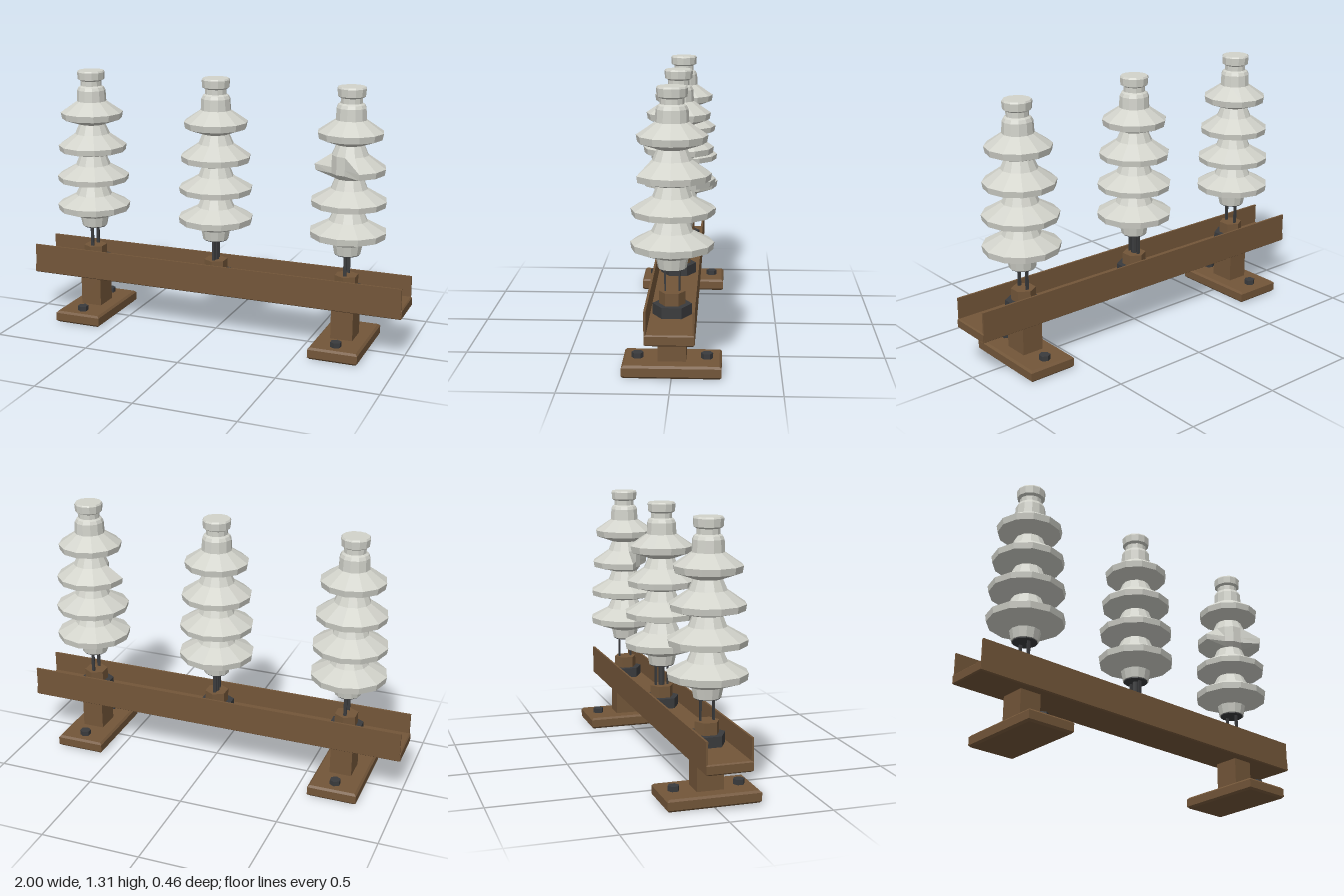
import * as THREE from 'three';

const porcelain = new THREE.MeshStandardMaterial({ color: 0xd2d3cb });
porcelain.name = 'porcelain grey';
const rust = new THREE.MeshStandardMaterial({ color: 0x735639 });
rust.name = 'rusty brown';
const iron = new THREE.MeshStandardMaterial({ color: 0x3a3b3d });
iron.name = 'dark iron';

// Faceted mesh
function part(parent, name, geometry, material, x = 0, y = 0, z = 0) {
  const g = geometry.index ? geometry.toNonIndexed() : geometry;
  g.computeVertexNormals();
  const mesh = new THREE.Mesh(g, material);
  mesh.name = name;
  mesh.position.set(x, y, z);
  parent.add(mesh);
  return mesh;
}

// Plate with chamfered edges, standing on y = 0
function chamferPlate(w, h, d, b) {
  const x = w / 2 - b, z = d / 2 - b;
  const shape = new THREE.Shape([
    new THREE.Vector2(-x, -z), new THREE.Vector2(x, -z),
    new THREE.Vector2(x, z), new THREE.Vector2(-x, z),
  ]);
  return new THREE.ExtrudeGeometry(shape, {
    depth: h - 2 * b, bevelEnabled: true, bevelThickness: b, bevelSize: b, bevelSegments: 1,
  }).rotateX(-Math.PI / 2).translate(0, b, 0);
}

const profile = [
  [0, 0.49], [0.065, 0.49], [0.075, 0.54], [0.185, 0.578], [0.19, 0.61],
  [0.095, 0.66], [0.072, 0.71], [0.182, 0.735], [0.187, 0.764],
  [0.09, 0.82], [0.07, 0.87], [0.172, 0.895], [0.177, 0.925],
  [0.09, 0.985], [0.068, 1.035], [0.155, 1.065], [0.161, 1.097],
  [0.076, 1.155], [0.073, 1.212], [0.065, 1.228], [0.054, 1.235], [0.054, 1.26],
  [0.068, 1.268], [0.071, 1.305], [0.066, 1.313], [0, 1.313],
].map(([r, y]) => new THREE.Vector2(r, y));

// Stacked porcelain sheds; one may have a piece broken from its third rim
function insulatorBody(chipped) {
  const g = new THREE.LatheGeometry(profile, 12);
  if (chipped) {
    const p = g.attributes.position;
    for (let i = 0; i < p.count; i++) {
      const x = p.getX(i), y = p.getY(i), z = p.getZ(i);
      const r = Math.hypot(x, z), a = Math.atan2(x, z);
      if (y > 0.88 && y < 0.94 && r > 0.1 && a > -1.15 && a < 0.1) {
        p.setX(i, x * 0.09 / r);
        p.setZ(i, z * 0.09 / r);
      }
    }
  }
  return g;
}

export function createModel() {
  const model = new THREE.Group();
  model.name = 'insulatorRack';

  // Channel beam: floor plate and two upright flanges
  part(model, 'beamFloor', chamferPlate(2, 0.05, 0.22, 0.006), rust, 0, 0.22, 0);
  for (const s of [-1, 1]) {
    part(model, 'beamFlange', new THREE.BoxGeometry(1.99, 0.15, 0.01), rust, 0, 0.3, s * 0.106);
  }

  // Feet: base plate, short leg and two bolts
  for (const s of [-1, 1]) {
    const foot = new THREE.Group();
    foot.name = 'foot';
    foot.position.x = s * 0.693;
    part(foot, 'basePlate', chamferPlate(0.25, 0.06, 0.455, 0.01), rust);
    part(foot, 'leg', new THREE.BoxGeometry(0.112, 0.17, 0.13), rust, 0, 0.14, 0);
    for (const z of [-0.16, 0.16]) {
      part(foot, 'footBolt', new THREE.CylinderGeometry(0.028, 0.028, 0.028, 6), iron, 0, 0.071, z);
    }
    model.add(foot);
  }

  // Three insulators on nuts and pins
  [-0.693, 0, 0.693].forEach((x, i) => {
    const unit = new THREE.Group();
    unit.name = 'insulator';
    unit.position.x = x;
    part(unit, 'washerNut', new THREE.CylinderGeometry(0.09, 0.09, 0.052, 6), iron, 0, 0.295, 0);
    part(unit, 'socket', new THREE.CylinderGeometry(0.06, 0.06, 0.06, 6), rust, 0, 0.35, 0);
    if (i === 1) {
      part(unit, 'pin', new THREE.CylinderGeometry(0.016, 0.016, 0.12, 8), iron, 0, 0.435, 0);
    }
    for (const s of [-1, 1]) {
      part(unit, 'sideRod', new THREE.BoxGeometry(0.016, 0.12, 0.008), iron, 0, 0.435, s * 0.032);
    }
    part(unit, 'bottomCap', new THREE.CylinderGeometry(0.06, 0.06, 0.006, 12), iron, 0, 0.488, 0);
    part(unit, 'porcelainBody', insulatorBody(i === 2), porcelain);
    model.add(unit);
  });

  return model;
}
